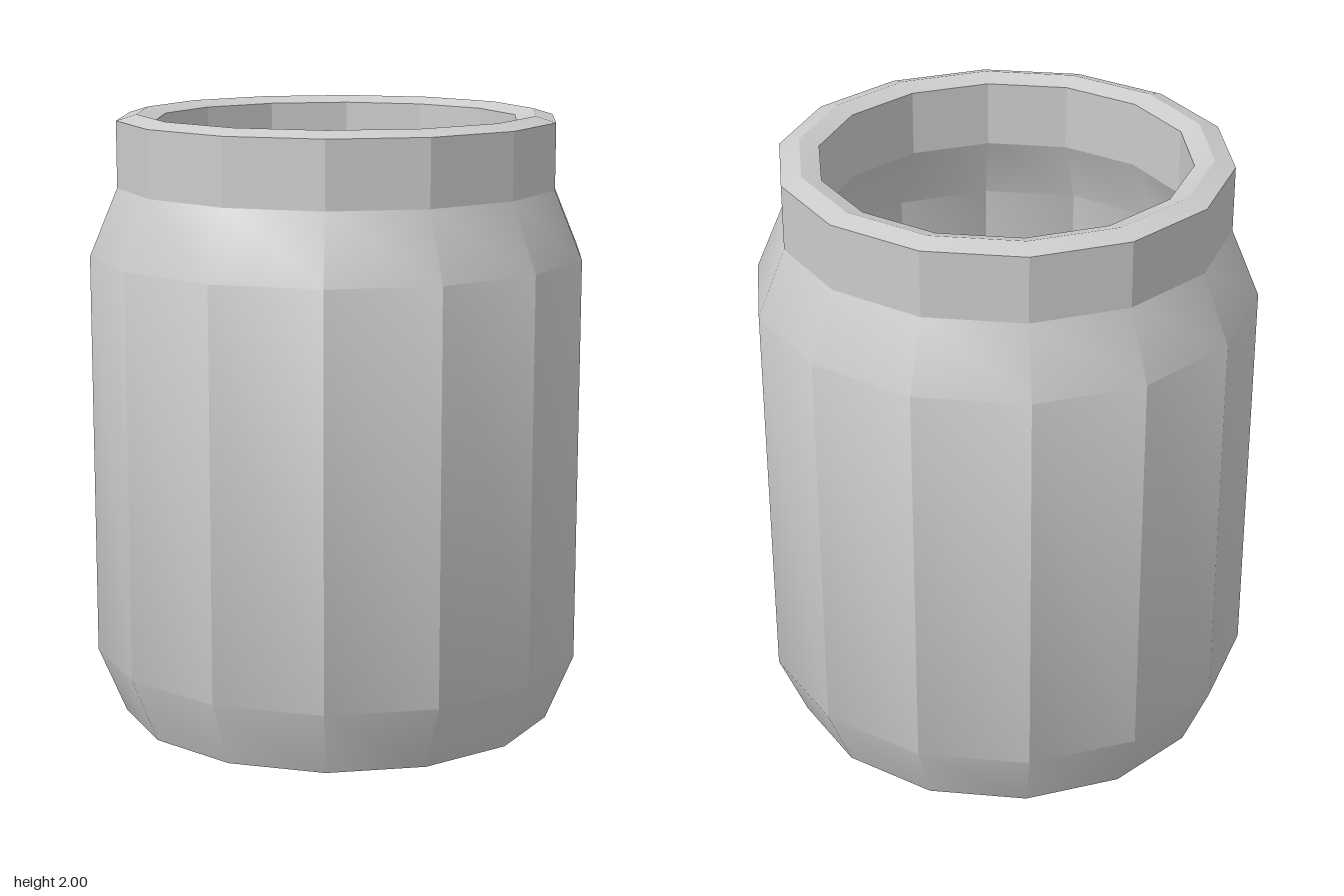
import * as THREE from 'three';
import { toCreasedNormals } from 'three/addons/utils/BufferGeometryUtils.js';

const SIDES = 14;
const material = new THREE.MeshStandardMaterial({ color: 0xcccccc });

// Turns a profile of [radius, height] into a faceted ring with a corner on the x axis
function turned(name, profile) {
  const points = profile.map(([r, y]) => new THREE.Vector2(r, y));
  const lathe = new THREE.LatheGeometry(points, SIDES, Math.PI / 2);
  // Side facets stay crisp while the shoulder and foot blend into the wall
  const mesh = new THREE.Mesh(toCreasedNormals(lathe, THREE.MathUtils.degToRad(24.5)), material);
  mesh.name = name;
  return mesh;
}

export function createModel() {
  const jar = new THREE.Group();
  jar.name = 'jar';

  jar.add(
    // Outside, from the base up
    turned('base', [[0, 0], [0.72, 0]]),
    turned('outerWall', [[0.72, 0], [0.812, 0.22], [0.812, 1.545], [0.72, 1.765]]),
    turned('neck', [[0.72, 1.765], [0.72, 1.98]]),
    // Rim with a low ridge
    turned('outerRim', [[0.72, 1.98], [0.655, 2]]),
    turned('innerRim', [[0.655, 2], [0.592, 1.98]]),
    // Hollow inside, from the rim down
    turned('innerNeck', [[0.592, 1.98], [0.592, 1.765]]),
    turned('innerWall', [[0.592, 1.765], [0.685, 1.545], [0.685, 0.3], [0.62, 0.12]]),
    turned('floor', [[0.62, 0.12], [0, 0.12]])
  );
  return jar;
}
